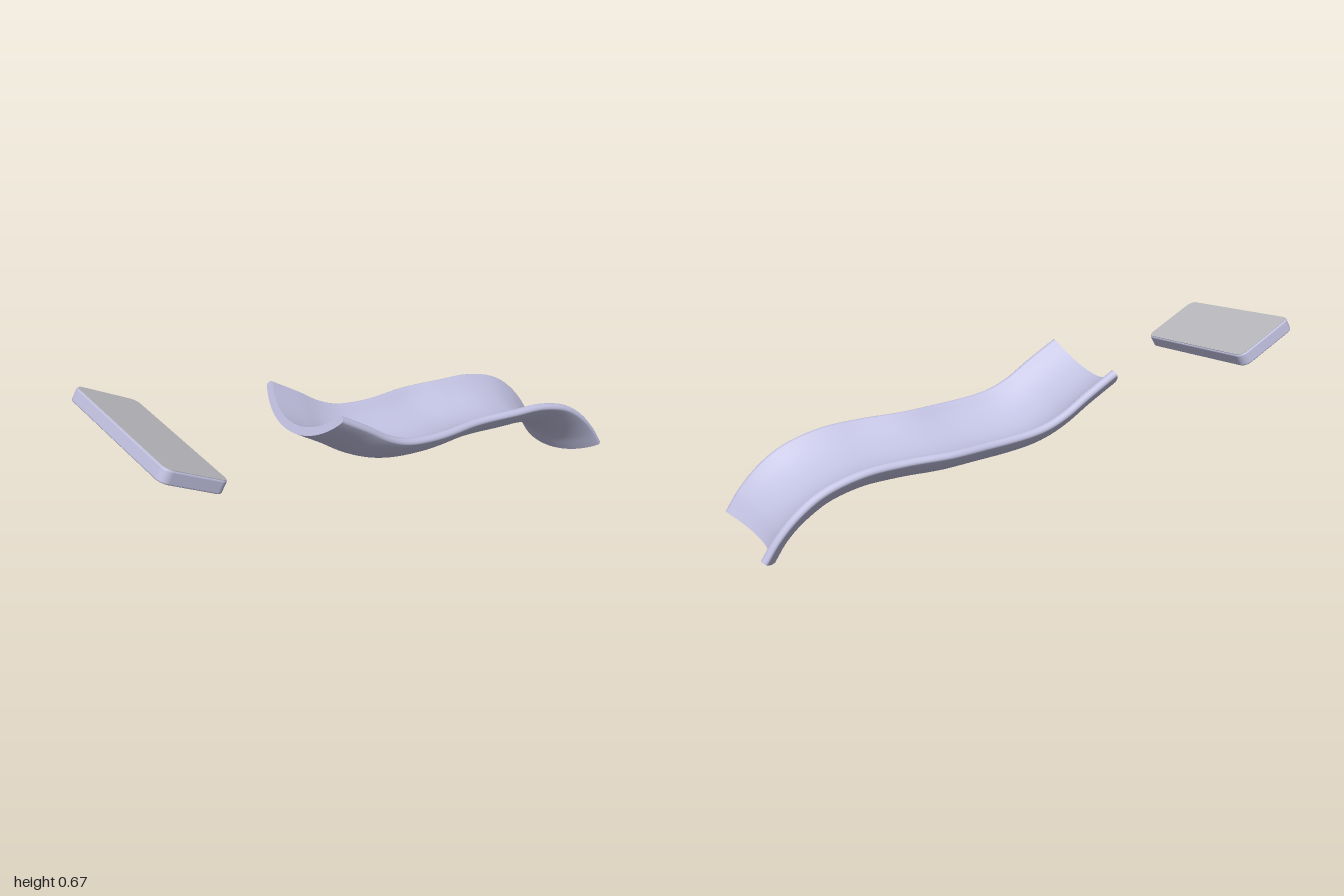
import * as THREE from 'three';

const shell = new THREE.MeshStandardMaterial({ color: 0xc0c0e0 });
shell.name = 'pale lavender';
const panel = new THREE.MeshStandardMaterial({ color: 0xbcbcc2 });
panel.name = 'light grey';

// Diagonal frame: the chute runs along ALONG and is as wide as ACROSS.
const ALONG = new THREE.Vector3(1, 0, -1).normalize();
const ACROSS = new THREE.Vector3(1, 0, 1).normalize();
const UP = new THREE.Vector3(0, 1, 0);

// Closed dish section, counterclockwise: outer arc, round rim, inner arc, round rim.
function dishSection(radius, thickness, halfAngle, depth) {
  const points = [];
  const inner = radius - thickness, mid = radius - thickness / 2;
  const centreY = radius - depth;
  const polar = (r, a) => points.push(new THREE.Vector2(r * Math.sin(a), centreY - r * Math.cos(a)));
  const rim = (a, side) => {
    for (let k = 1; k < 6; k++) {
      const b = (k / 6) * Math.PI;
      polar(mid + Math.cos(side > 0 ? b : Math.PI - b) * thickness / 2, a + side * Math.sin(b) * 0.04);
    }
  };
  for (let i = 0; i <= 28; i++) polar(radius, halfAngle * (i / 14 - 1));
  rim(halfAngle, 1);
  for (let i = 28; i >= 0; i--) polar(inner, halfAngle * (i / 14 - 1));
  rim(-halfAngle, -1);
  return points;
}

function buildChute() {
  const chute = new THREE.Group();
  chute.name = 'chute';

  // Side line of the rim: distance along, height
  const path = new THREE.CatmullRomCurve3([
    [-0.285, 0.528], [-0.16, 0.455], [-0.06, 0.392], [0.03, 0.356], [0.16, 0.338], [0.4, 0.334],
    [0.6, 0.331], [0.77, 0.32], [0.92, 0.277], [1.02, 0.212], [1.1, 0.13], [1.152, 0.055],
  ].map(([u, y]) => new THREE.Vector3(u, y, 0)), false, 'centripetal');
  const section = dishSection(0.32, 0.034, 0.88, 0.135);
  const rings = 84, count = section.length;
  const positions = [], along = [];

  for (let i = 0; i <= rings; i++) {
    const p = path.getPointAt(i / rings);
    const t = path.getTangentAt(i / rings);
    along.push(p.x);
    const normal = ALONG.clone().multiplyScalar(-t.y).addScaledVector(UP, t.x);
    const sway = -0.02 * Math.exp(-(((p.x - 0.42) / 0.14) ** 2));
    const flatten = 1 - 0.12 * THREE.MathUtils.smoothstep(p.x, 0.95, 1.13);
    for (const s of section) {
      const v = ALONG.clone().multiplyScalar(p.x).addScaledVector(UP, p.y)
        .addScaledVector(ACROSS, s.x + sway).addScaledVector(normal, s.y * flatten);
      positions.push(v.x, v.y, v.z);
    }
  }

  const strip = (from, to) => {
    const index = [];
    for (let i = from; i < to; i++) {
      for (let j = 0; j < count; j++) {
        const k = (j + 1) % count;
        const a = i * count + j, b = a + count, c = i * count + k, d = c + count;
        index.push(a, b, c, b, d, c);
      }
    }
    return index;
  };
  const whole = new THREE.BufferGeometry();
  whole.setAttribute('position', new THREE.Float32BufferAttribute(positions, 3));
  whole.setIndex(strip(0, rings));
  whole.computeVertexNormals();

  // Sections share the smooth surface and meet at the seams
  const ringAt = (u) => along.findIndex((value) => value >= u);
  const stops = [0, ringAt(0.18), ringAt(0.6), ringAt(1.105), rings];
  ['upperSlope', 'middleRun', 'lowerBend', 'exitLip'].forEach((name, i) => {
    const geometry = new THREE.BufferGeometry();
    geometry.setAttribute('position', whole.getAttribute('position'));
    geometry.setAttribute('normal', whole.getAttribute('normal'));
    geometry.setIndex(strip(stops[i], stops[i + 1]));
    const mesh = new THREE.Mesh(geometry, shell);
    mesh.name = name;
    chute.add(mesh);
  });

  // End faces
  const faces = THREE.ShapeUtils.triangulateShape(section, []);
  [['upperEndFace', 0], ['lowerEndFace', rings]].forEach(([name, ring]) => {
    const start = ring * count * 3;
    const geometry = new THREE.BufferGeometry();
    geometry.setAttribute('position',
      new THREE.Float32BufferAttribute(positions.slice(start, start + count * 3), 3));
    geometry.setIndex(faces.flatMap(([a, b, c]) => (ring ? [a, c, b] : [a, b, c])));
    geometry.computeVertexNormals();
    const mesh = new THREE.Mesh(geometry, shell);
    mesh.name = name;
    chute.add(mesh);
  });
  return chute;
}

function roundedRectangle(w, h, r) {
  const shape = new THREE.Shape();
  const x = w / 2 - r, y = h / 2 - r;
  shape.absarc(x, y, r, 0, Math.PI / 2);
  shape.absarc(-x, y, r, Math.PI / 2, Math.PI);
  shape.absarc(-x, -y, r, Math.PI, Math.PI * 1.5);
  shape.absarc(x, -y, r, Math.PI * 1.5, Math.PI * 2);
  shape.closePath();
  return shape;
}

function buildSlab() {
  const slab = new THREE.Group();
  slab.name = 'tiltedSlab';
  const thickness = 0.052, bevel = 0.006;

  const body = new THREE.Mesh(new THREE.ExtrudeGeometry(
    roundedRectangle(0.67 - 2 * bevel, 0.28 - 2 * bevel, 0.03), {
      depth: thickness - 2 * bevel, bevelEnabled: true, bevelThickness: bevel,
      bevelSize: bevel, bevelSegments: 3, curveSegments: 8,
    }), shell);
  body.name = 'slabBody';
  body.position.z = -thickness / 2 + bevel;

  // Thin grey top
  const top = new THREE.Mesh(new THREE.ExtrudeGeometry(
    roundedRectangle(0.66, 0.27, 0.031),
    { depth: 0.003, bevelEnabled: false, curveSegments: 8 }), panel);
  top.name = 'slabTopPanel';
  top.position.z = thickness / 2 - 0.001;
  slab.add(body, top);

  // Tilt: long side, short side, face normal
  const long = new THREE.Vector3(0.47, -0.095, 0.47).normalize();
  const normal = long.clone().cross(new THREE.Vector3(0.175, -0.125, -0.175)).normalize();
  const short = normal.clone().cross(long);
  slab.setRotationFromMatrix(new THREE.Matrix4().makeBasis(long, short, normal));
  slab.position.set(-0.68, 0.533, 0.66);
  return slab;
}

export function createModel() {
  const model = new THREE.Group();
  model.name = 'chuteAndSlab';
  model.add(buildChute(), buildSlab());
  return model;
}
